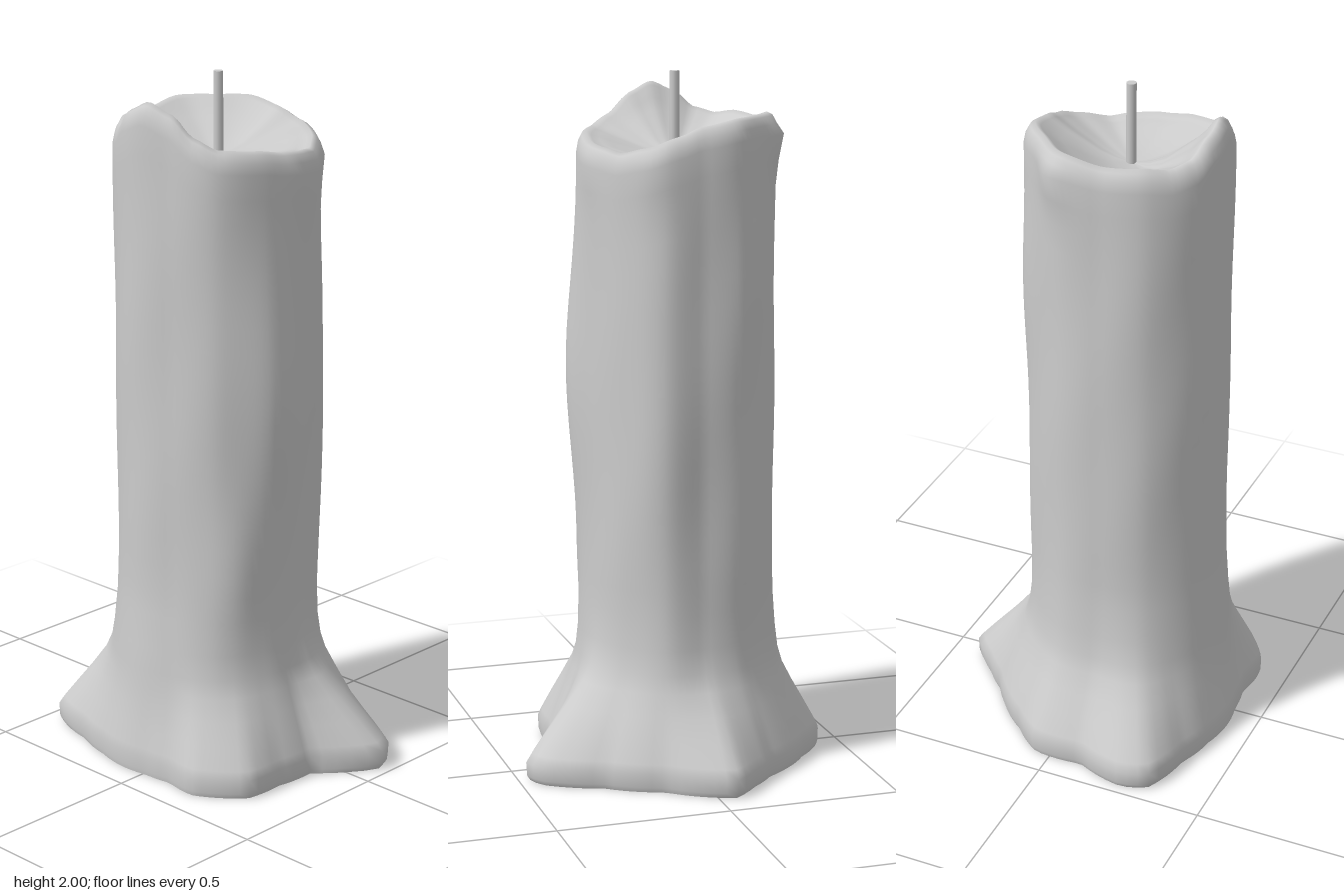
import * as THREE from 'three';

const CX = -0.02, CZ = 0.08;   // candle axis
const N = 96;                  // points around each ring
const TAU = Math.PI * 2;

// Turn outline points [x, z] into sorted [angle, radius] pairs about the axis
const polar = (pts) => pts.map(([x, z]) => [
  (Math.atan2(z - CZ, x - CX) + TAU) % TAU, Math.hypot(x - CX, z - CZ),
]).sort((p, q) => p[0] - q[0]);

// Periodic interpolation of a sorted table
function sample(table, a, smooth) {
  const n = table.length;
  let k = table.findIndex((p) => p[0] > a);
  if (k < 0) k = n;
  const p = table[(k - 1 + n) % n], q = table[k % n];
  const span = (q[0] - p[0] + TAU) % TAU;
  let t = ((a - p[0] + TAU) % TAU) / span;
  if (smooth) t = 0.5 * t + 0.5 * t * t * (3 - 2 * t);
  return p[1] + (q[1] - p[1]) * t;
}

// Spread of melted wax on the ground
const foot = polar([
  [-0.05, -0.42], [0.04, -0.38], [0.13, -0.31], [0.29, -0.225], [0.4, -0.18], [0.46, -0.14],
  [0.48, -0.085], [0.43, -0.01], [0.35, 0.075], [0.34, 0.2], [0.335, 0.32], [0.2, 0.42],
  [0.1, 0.405], [0.01, 0.415], [-0.18, 0.405], [-0.3, 0.37], [-0.455, 0.325], [-0.48, 0.25],
  [-0.43, 0.1], [-0.43, -0.05], [-0.35, -0.14], [-0.27, -0.225], [-0.2, -0.275], [-0.13, -0.345],
]);

// Uneven cross-section of the column
const column = polar([
  [-0.135, -0.19], [-0.02, -0.2], [0.085, -0.2], [0.185, -0.12], [0.245, 0.02], [0.245, 0.17],
  [0.18, 0.29], [0.05, 0.345], [-0.08, 0.36], [-0.18, 0.32], [-0.27, 0.23], [-0.295, 0.1],
  [-0.29, -0.02], [-0.21, -0.13],
]);

// Height of the rim by angle in degrees (0 = +x, 90 = front)
const rim = [
  [0, 1.81], [20, 1.825], [45, 1.835], [60, 1.865], [75, 1.92], [92, 1.95], [108, 1.92],
  [120, 1.875], [135, 1.86], [150, 1.87], [175, 1.865], [200, 1.885], [225, 1.885], [245, 1.885],
  [270, 1.865], [285, 1.84], [303, 1.81], [322, 1.79], [337, 1.8],
].map(([d, y]) => [d * Math.PI / 180, y]);

// Swellings of run-down wax: angle in degrees, height, outward size, half height, half width
const drips = [
  [12, 1.15, 0.035, 0.3, 18], [205, 1.82, 0.025, 0.07, 12], [298, 1.05, 0.018, 0.4, 18],
  [300, 1.76, 0.018, 0.1, 12], [180, 1.0, 0.008, 0.3, 20], [35, 0.6, 0.01, 0.2, 12],
  [240, 1.45, 0.01, 0.25, 12], [350, 1.76, 0.01, 0.08, 12], [100, 0.32, 0.018, 0.15, 40],
  [175, 0.35, 0.01, 0.12, 30],
];

function columnRadius(a, y) {
  let r = sample(column, a, true);
  for (const [d, h, size, dh, dw] of drips) {
    const da = ((a * 180 / Math.PI - d + 540) % 360) - 180;
    r += size * Math.exp(-((da / dw) ** 2) - (((y - h) / dh) ** 2));
  }
  return r + 0.003 * Math.sin(5 * a + 4 * y) * Math.sin(6 * y);
}

// Skin a stack of rings; each row maps an angle to [radius, height]
function skin(rows, name, material) {
  const pos = [], index = [];
  for (const row of rows) {
    for (let i = 0; i < N; i++) {
      const a = i / N * TAU, [r, y] = row(a);
      pos.push(CX + r * Math.cos(a), y, CZ + r * Math.sin(a));
    }
  }
  for (let j = 0; j < rows.length - 1; j++) {
    for (let i = 0; i < N; i++) {
      const p = j * N + i, q = j * N + (i + 1) % N;
      index.push(p, p + N, q + N, p, q + N, q);
    }
  }
  const g = new THREE.BufferGeometry();
  g.setAttribute('position', new THREE.Float32BufferAttribute(pos, 3));
  g.setIndex(index);
  g.computeVertexNormals();
  const mesh = new THREE.Mesh(g, material);
  mesh.name = name;
  return mesh;
}

export function createModel() {
  const group = new THREE.Group();
  group.name = 'meltedCandle';
  const mat = new THREE.MeshStandardMaterial({ color: 0xcccccc });
  const floorY = 1.765;
  const rows = [];

  // Flared foot: [height, blend from column to foot outline]
  const flare = [[0, 0.95], [0.015, 0.99], [0.055, 1], [0.08, 0.92], [0.14, 0.69], [0.2, 0.45],
    [0.26, 0.22], [0.31, 0.1], [0.38, 0.03], [0.48, 0]];
  for (const [y, t] of flare) {
    rows.push((a) => {
      const c = columnRadius(a, y);
      return [c + (sample(foot, a, false) - c) * t, y];
    });
  }

  // Column up to just below the rim
  for (let k = 1; k <= 18; k++) {
    rows.push((a) => {
      const y = 0.48 + (sample(rim, a, true) - 0.06 - 0.48) * k / 18;
      return [columnRadius(a, y), y];
    });
  }

  // Rounded lip: [radius factor, drop below the rim height]
  for (const [f, drop] of [[0.98, 0.03], [0.94, 0.008], [0.89, 0], [0.84, 0.01]]) {
    rows.push((a) => {
      const y = sample(rim, a, true);
      return [columnRadius(a, y) * f, y - drop];
    });
  }

  // Hollow melted pool: [radius factor, share of rim height kept]
  for (const [f, t] of [[0.76, 0.76], [0.65, 0.58], [0.5, 0.38], [0.35, 0.18], [0.18, 0.05], [0, 0]]) {
    rows.push((a) => {
      const y = sample(rim, a, true);
      return [columnRadius(a, y) * f, floorY + (y - floorY) * t];
    });
  }
  group.add(skin(rows, 'waxBody', mat));

  // Flat underside
  group.add(skin([() => [0, 0], rows[0]], 'underside', mat));

  // Wick
  const wick = new THREE.Mesh(new THREE.CylinderGeometry(0.014, 0.014, 0.26, 12), mat);
  wick.position.set(CX, 1.87, CZ - 0.005);
  wick.name = 'wick';
  group.add(wick);
  return group;
}
